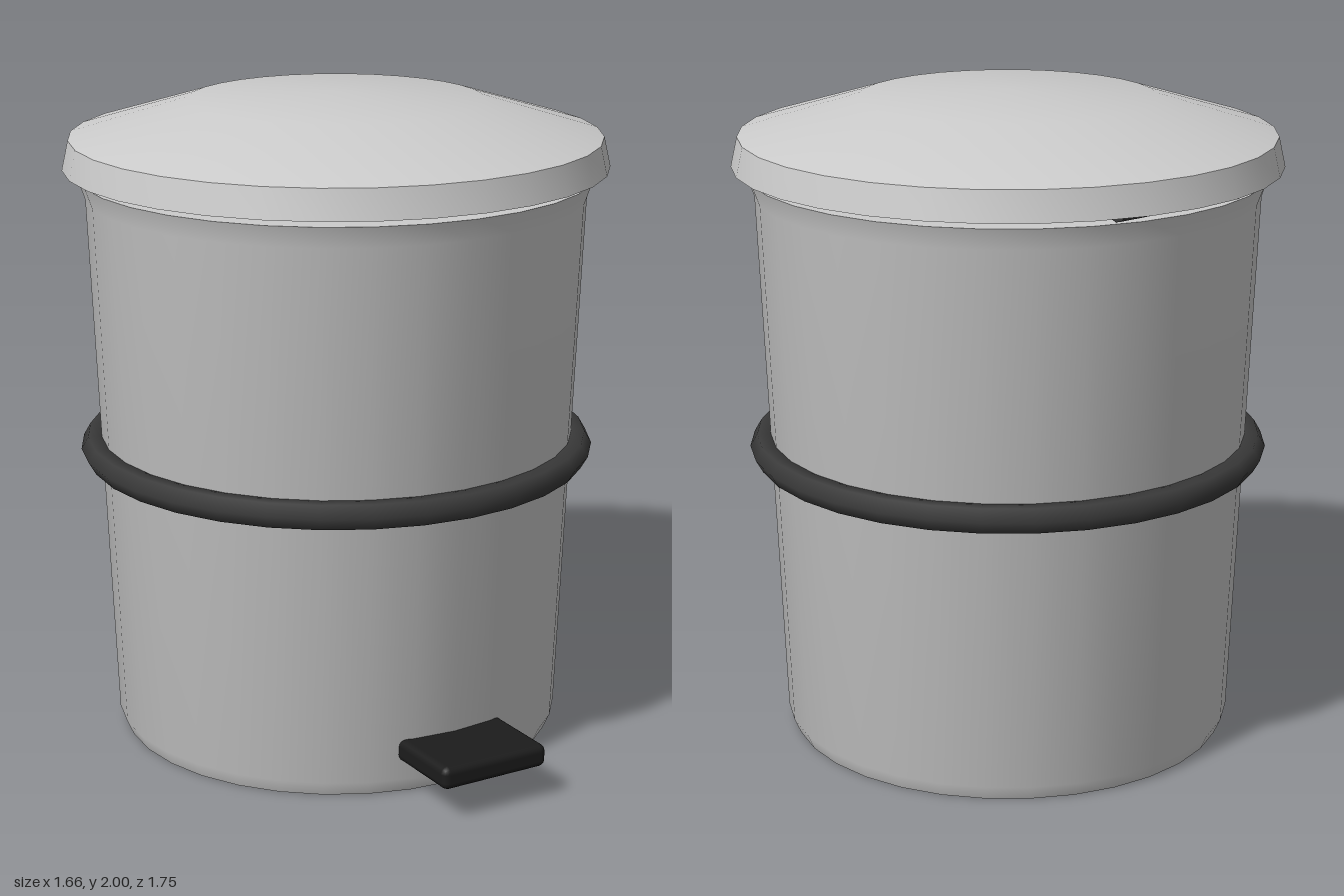
import * as THREE from 'three';
import { toCreasedNormals } from 'three/addons/utils/BufferGeometryUtils.js';
import { RoundedBoxGeometry } from 'three/addons/geometries/RoundedBoxGeometry.js';

const SIDES = 32;
const AXIS_Z = -0.045; // the round parts sit slightly back, the pedal reaches forward

const material = (color) => new THREE.MeshStandardMaterial({ color });

// Closed turned solid from [radius, y] pairs, running bottom to top
function turned(profile) {
  const points = profile.map(([r, y]) => new THREE.Vector2(r, y));
  return toCreasedNormals(new THREE.LatheGeometry(points, SIDES), 0.7);
}

export function createModel() {
  const model = new THREE.Group();
  model.name = 'pedalBin';
  const grey = material(0xcccccc);
  const rubber = material(0x3a3a3a);
  const black = material(0x1c1c1c);

  function add(name, geometry, mat, x, y, z) {
    const mesh = new THREE.Mesh(geometry, mat);
    mesh.name = name;
    mesh.position.set(x, y, z);
    model.add(mesh);
    return mesh;
  }

  // Tapered bucket with bevelled foot and flared lip
  add('body', turned([
    [0, 0], [0.675, 0], [0.695, 0.045], [0.762, 1.69], [0.785, 1.755], [0, 1.755],
  ]), grey, 0, 0, AXIS_Z);

  // Shallow domed lid, floating just above the lip
  add('lid', turned([
    [0, 1.78], [0.83, 1.78], [0.81, 1.87], [0.45, 1.98], [0, 2],
  ]), grey, 0, 0, AXIS_Z);

  // Band around the middle
  add('band', new THREE.TorusGeometry(0.752, 0.043, 6, SIDES), rubber, 0, 0.906, AXIS_Z)
    .rotation.x = Math.PI / 2;

  // Hinge barrel under the back of the lid
  add('hinge', new THREE.CylinderGeometry(0.042, 0.042, 0.45, 12), rubber, 0, 1.8, -0.785)
    .rotation.z = Math.PI / 2;

  // Foot pedal
  add('pedal', new RoundedBoxGeometry(0.36, 0.07, 0.34, 2, 0.022), black, 0, 0.14, 0.71);

  return model;
}
